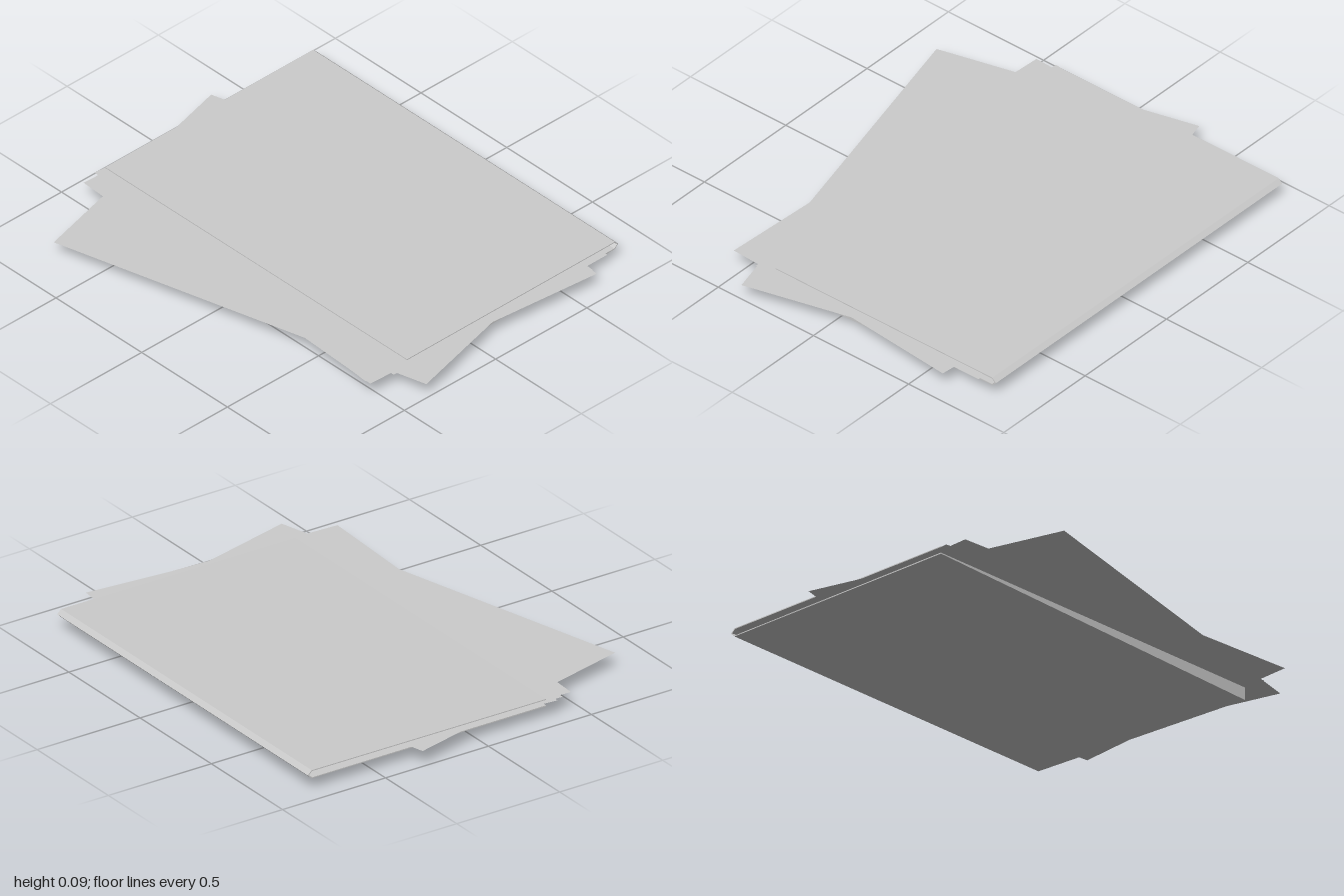
import * as THREE from 'three';

const material = new THREE.MeshStandardMaterial({ color: 0xcccccc, flatShading: true, side: THREE.DoubleSide });

const LEFT = 0.84, RIGHT = -0.92, FRONT = 0.335;

// Folded cover: a thin C-shaped section (z, y) swept across the width
function makeFolder() {
  const section = new THREE.Shape([
    [FRONT, 0.05], [-0.803, 0.051], [-0.822, 0.069], [-0.803, 0.087], [FRONT, 0.083],
    [FRONT, 0.079], [-0.801, 0.083], [-0.816, 0.069], [-0.801, 0.055], [FRONT, 0.055],
  ].map(([z, y]) => new THREE.Vector2(z, y)));
  const geometry = new THREE.ExtrudeGeometry(section, { depth: LEFT - RIGHT, bevelEnabled: false });
  geometry.rotateY(-Math.PI / 2).translate(LEFT, 0, 0);

  // Pull the front left corner of the underside down to the ground
  const p = geometry.attributes.position;
  for (let i = 0; i < p.count; i++) {
    if (p.getX(i) > LEFT - 0.01 && p.getZ(i) > FRONT - 0.01 && p.getY(i) < 0.052) p.setY(i, 0);
  }
  geometry.computeVertexNormals();
  const folder = new THREE.Mesh(geometry, material);
  folder.name = 'folderCover';
  return folder;
}

// Loose sheets: centre x, height, centre z, turn in degrees
const sheets = [
  [-0.024, 0.062, -0.16, 0],
  [0, 0.068, 0.03, 14.3],
  [-0.003, 0.071, -0.12, -5.4],
  [-0.003, 0.075, -0.08, -2.75],
];

export function createModel() {
  const model = new THREE.Group();
  model.name = 'folderWithPapers';
  model.add(makeFolder());

  const paper = new THREE.PlaneGeometry(1.764, 1.17).rotateX(-Math.PI / 2);
  sheets.forEach(([x, y, z, turn], i) => {
    const sheet = new THREE.Mesh(paper, material);
    sheet.name = `paperSheet${i + 1}`;
    sheet.position.set(x, y, z);
    sheet.rotation.y = THREE.MathUtils.degToRad(turn);
    model.add(sheet);
  });
  return model;
}
